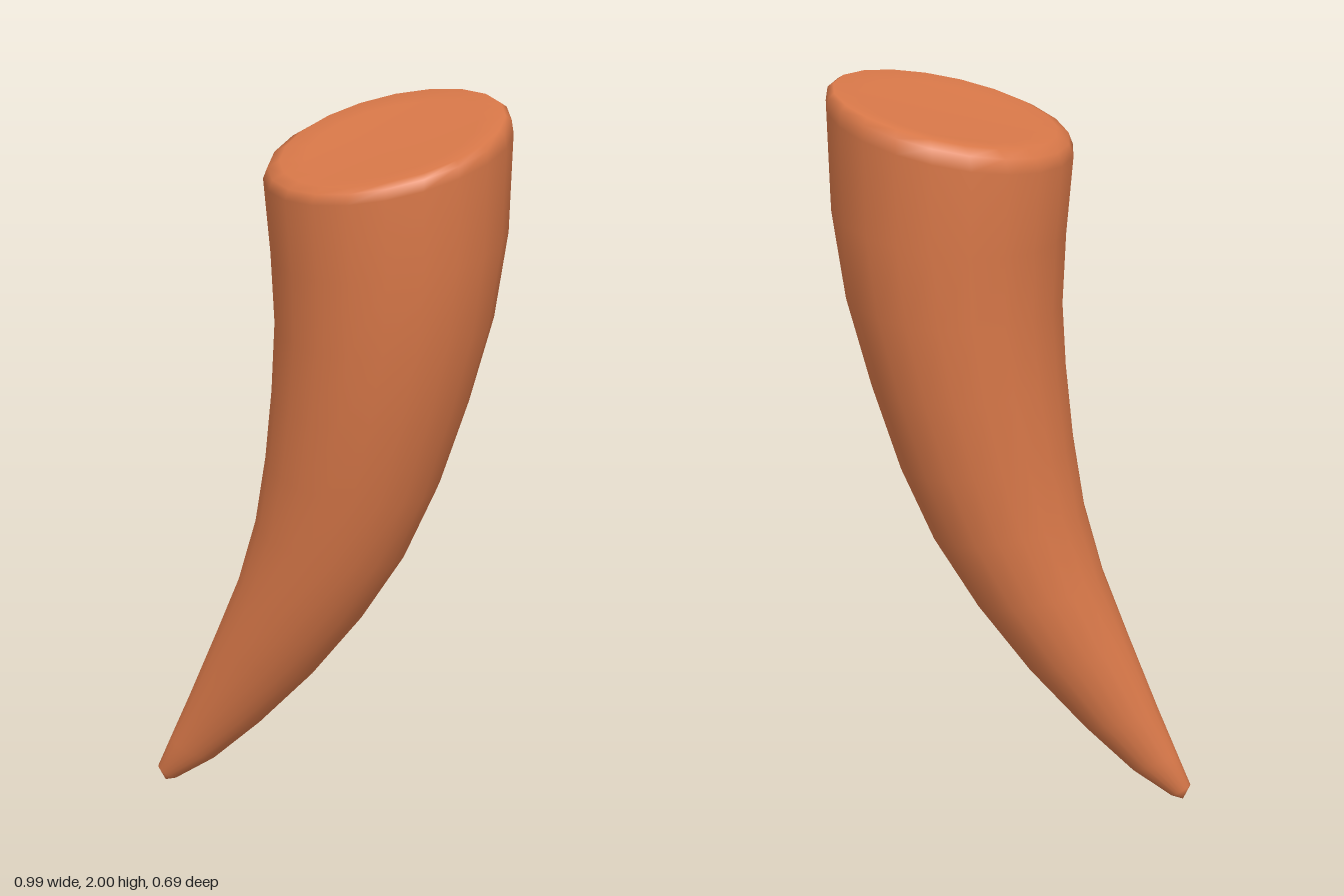
import * as THREE from 'three';

const SIDES = 20;

// Cross-sections from tip to rim: [inner x, inner y, outer x, outer y, half depth, tilt]
const RINGS = [
  [-0.497, 0.04, -0.445, 0.01, 0.024, 0],
  [-0.46, 0.13, -0.34, 0.08, 0.047, 0],
  [-0.41, 0.25, -0.21, 0.20, 0.077, 0],
  [-0.33, 0.45, -0.06, 0.36, 0.122, 0],
  [-0.26, 0.63, 0.08, 0.54, 0.165, 0],
  [-0.21, 0.81, 0.20, 0.73, 0.20, 0],
  [-0.18, 1.00, 0.29, 0.93, 0.235, 0],
  [-0.16, 1.20, 0.37, 1.17, 0.272, 0],
  [-0.15, 1.40, 0.44, 1.42, 0.30, 0],
  [-0.16, 1.60, 0.48, 1.67, 0.325, 0],
  [-0.18, 1.82, 0.493, 1.95, 0.345, 0.015],
  // rounded rim
  [-0.168, 1.855, 0.488, 1.988, 0.336, 0.022],
  [-0.135, 1.877, 0.472, 2.0, 0.312, 0.025],
  // flat cap
  [-0.07, 1.883, 0.40, 1.982, 0.245, 0.02],
];
const TIP = [-0.477, 0, 0];
const CAP = [0.16, 1.93, 0];

function hornGeometry() {
  const positions = [];
  const index = [];
  for (const [x0, y0, x1, y1, depth, tilt] of RINGS) {
    for (let j = 0; j < SIDES; j++) {
      const a = (j / SIDES) * Math.PI * 2;
      const t = (1 + Math.cos(a)) / 2;
      const s = Math.sin(a);
      positions.push(x0 + (x1 - x0) * t, y0 + (y1 - y0) * t - tilt * s, depth * s);
    }
  }
  const tip = RINGS.length * SIDES;
  const cap = tip + 1;
  positions.push(...TIP, ...CAP);

  const last = (RINGS.length - 1) * SIDES;
  for (let j = 0; j < SIDES; j++) {
    const k = (j + 1) % SIDES;
    index.push(tip, j, k);
    for (let row = 0; row < last; row += SIDES) {
      const up = row + SIDES;
      index.push(row + j, up + j, row + k, row + k, up + j, up + k);
    }
    index.push(cap, last + k, last + j);
  }

  const geometry = new THREE.BufferGeometry();
  geometry.setAttribute('position', new THREE.Float32BufferAttribute(positions, 3));
  geometry.setIndex(index);
  geometry.computeVertexNormals();
  return geometry;
}

export function createModel() {
  const group = new THREE.Group();
  group.name = 'curvedHorn';
  const terracotta = new THREE.MeshStandardMaterial({ color: 0xdc7a4a });
  terracotta.name = 'terracotta';
  const horn = new THREE.Mesh(hornGeometry(), terracotta);
  horn.name = 'horn';
  group.add(horn);
  return group;
}
